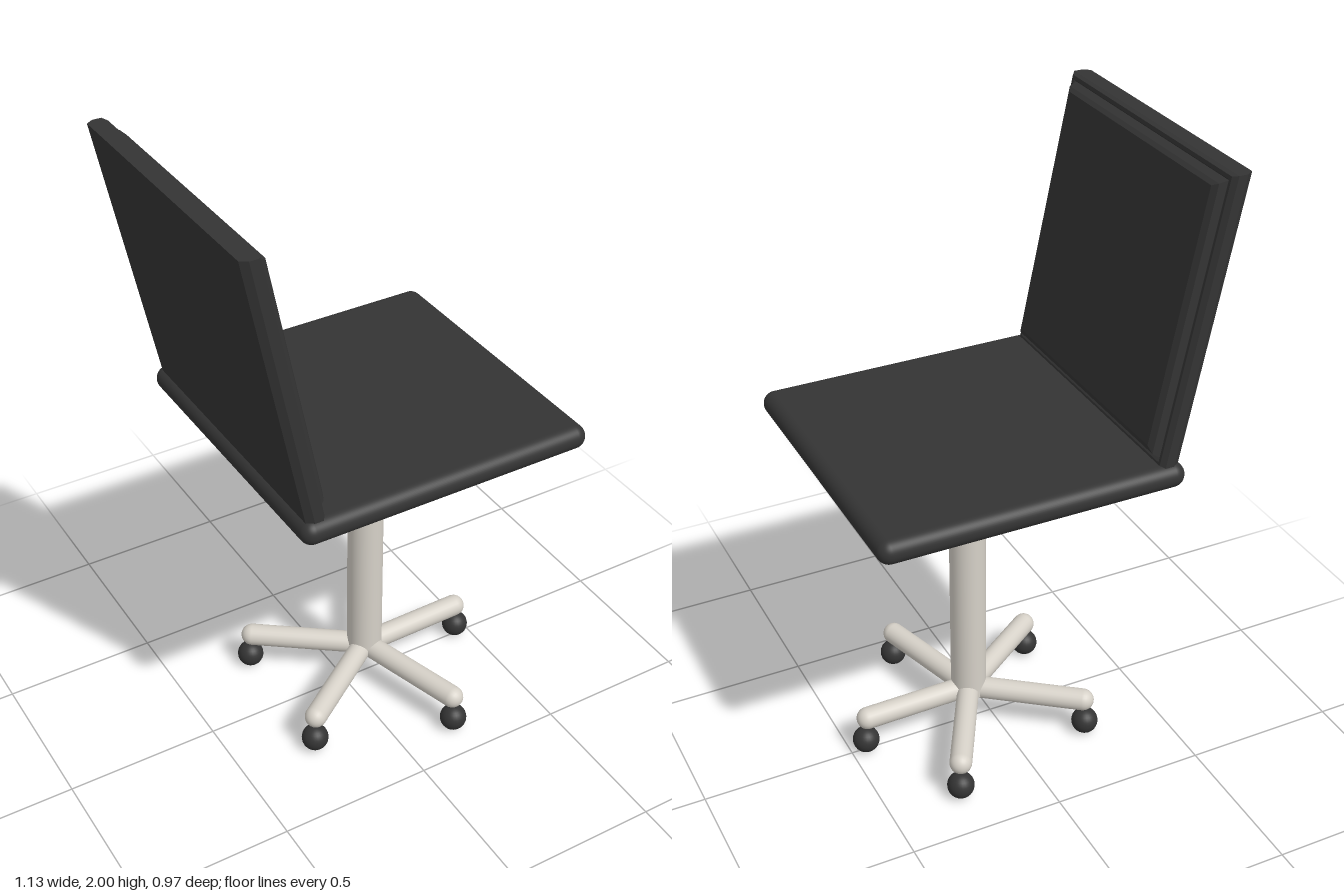
import * as THREE from 'three';
import { RoundedBoxGeometry } from 'three/addons/geometries/RoundedBoxGeometry.js';

const black = new THREE.MeshStandardMaterial({ color: 0x343434 });
black.name = 'black upholstery';
const metal = new THREE.MeshStandardMaterial({ color: 0xd6d1c8 });
metal.name = 'pale metal';

const AXIS_X = 0.077;

function addMesh(parent, name, geometry, material, x = 0, y = 0, z = 0) {
  const mesh = new THREE.Mesh(geometry, material);
  mesh.name = name;
  mesh.position.set(x, y, z);
  parent.add(mesh);
  return mesh;
}

// Leaning slab made of rectangular sections: [depth, inset in z, inset at top, inset at bottom]
function backrestGeometry() {
  const sections = [
    [0, 0.015, 0, 0], [0.022, 0, 0, 0], [0.05, 0, 0, 0],
    [0.062, 0.016, 0.005, 0.005], [0.062, 0.026, 0.016, 0.016], [0.056, 0.032, 0.022, 0.025],
    [0.08, 0.04, 0.03, 0.04], [0.09, 0.06, 0.04, 0.06],
  ];
  const loops = sections.map(([d, iz, top, bottom]) => {
    const y0 = 1.12 + bottom, y1 = 2 - top, z = 0.465 - iz;
    return [[y0, -z], [y1, -z], [y1, z], [y0, z]].map(
      ([y, zz]) => [-0.565 + 0.2 * (2 - y) + d, y, zz]);
  });
  const pos = [];
  const quad = (a, b, c, d) => pos.push(...a, ...b, ...c, ...a, ...c, ...d);
  for (let k = 0; k < loops.length - 1; k++) {
    for (let i = 0; i < 4; i++) {
      const j = (i + 1) % 4;
      quad(loops[k][i], loops[k][j], loops[k + 1][j], loops[k + 1][i]);
    }
  }
  quad(...loops[loops.length - 1]);
  quad(...[...loops[0]].reverse());
  const geometry = new THREE.BufferGeometry();
  geometry.setAttribute('position', new THREE.Float32BufferAttribute(pos, 3));
  geometry.computeVertexNormals();
  return geometry;
}

export function createModel() {
  const chair = new THREE.Group();
  chair.name = 'swivelChair';

  // Upholstery
  addMesh(chair, 'seat', new RoundedBoxGeometry(0.973, 0.078, 0.973, 6, 0.0385), black, AXIS_X, 1.09, 0);
  addMesh(chair, 'backrest', backrestGeometry(), black);

  // Telescopic column
  addMesh(chair, 'upperColumn', new THREE.CylinderGeometry(0.041, 0.041, 0.3, 32), metal, AXIS_X, 0.92, 0.004);
  addMesh(chair, 'lowerColumn', new THREE.CylinderGeometry(0.058, 0.058, 0.675, 32), metal, AXIS_X, 0.4525, 0.004);
  addMesh(chair, 'columnCollar', new THREE.CylinderGeometry(0.05, 0.058, 0.012, 32), metal, AXIS_X, 0.796, 0.004);

  // Five legs with ball casters
  const casters = [[0.45, -0.003], [0.19, 0.38], [-0.245, 0.23], [-0.235, -0.23], [0.265, -0.335]];
  const legGeometry = new THREE.CapsuleGeometry(0.036, 0.375, 8, 24);
  legGeometry.rotateZ(-Math.PI / 2);
  legGeometry.translate(0.1875, 0, 0);
  const casterGeometry = new THREE.SphereGeometry(0.0435, 24, 16);
  for (const [x, z] of casters) {
    const leg = addMesh(chair, 'leg', legGeometry, metal, AXIS_X, 0.128, 0.004);
    leg.rotation.y = -Math.atan2(z - 0.004, x - AXIS_X);
    leg.scale.x = Math.hypot(z - 0.004, x - AXIS_X) / 0.383;
    addMesh(chair, 'caster', casterGeometry, black, x, 0.0435, z);
  }
  return chair;
}
